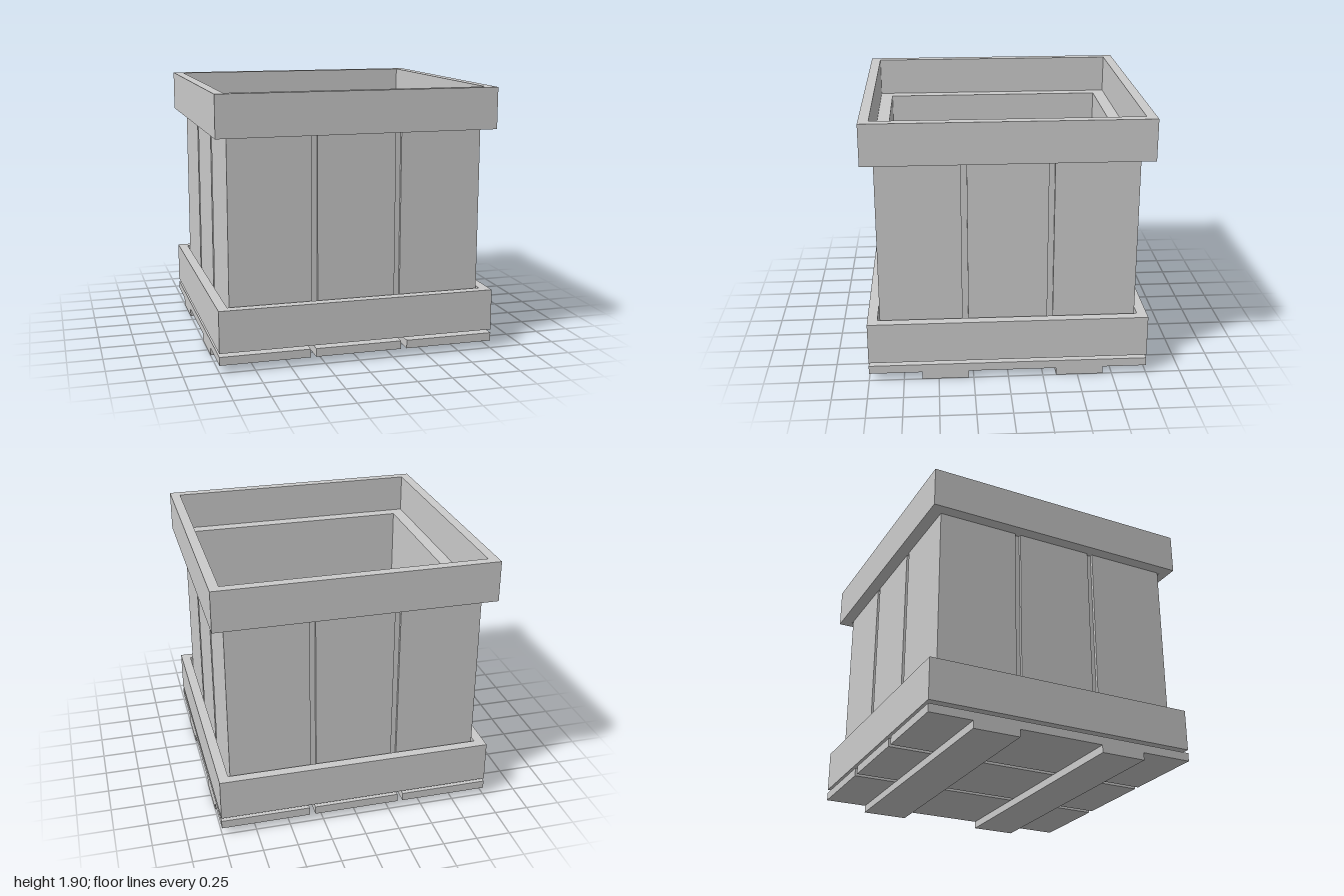
import * as THREE from 'three';

const material = new THREE.MeshStandardMaterial({ color: 0xcccccc });

function add(parent, name, geometry) {
  const mesh = new THREE.Mesh(geometry, material);
  mesh.name = name;
  parent.add(mesh);
  return mesh;
}

// Box given by its limits on each axis
function block(parent, name, [x0, x1], [y0, y1], [z0, z1]) {
  const mesh = add(parent, name, new THREE.BoxGeometry(x1 - x0, y1 - y0, z1 - z0));
  mesh.position.set((x0 + x1) / 2, (y0 + y1) / 2, (z0 + z1) / 2);
  return mesh;
}

function squarePath(path, r) {
  path.moveTo(-r, -r);
  path.lineTo(r, -r);
  path.lineTo(r, r);
  path.lineTo(-r, r);
  path.closePath();
  return path;
}

// Upright square ring between two half-widths, from y0 to y1
function ring(parent, name, outer, inner, y0, y1) {
  const shape = squarePath(new THREE.Shape(), outer);
  shape.holes.push(squarePath(new THREE.Path(), inner));
  const geometry = new THREE.ExtrudeGeometry(shape, { depth: y1 - y0, bevelEnabled: false });
  geometry.rotateX(-Math.PI / 2).translate(0, y0, 0);
  return add(parent, name, geometry);
}

export function createModel() {
  const crate = new THREE.Group();
  crate.name = 'crate';

  // Pallet: two cross runners under three planks
  const pallet = new THREE.Group();
  pallet.name = 'pallet';
  crate.add(pallet);
  for (const z of [[0.285, 0.62], [-0.685, -0.345]]) {
    block(pallet, 'runner', [-1, 1], [0, 0.055], z);
  }
  for (const x of [[-1, -0.357], [-0.317, 0.31], [0.353, 1]]) {
    block(pallet, 'plank', x, [0.055, 0.115], [-1, 1]);
  }

  // Floor and inner box with its thin lip
  block(crate, 'floor', [-0.922, 0.922], [0.115, 0.16], [-0.922, 0.922]);
  ring(crate, 'liner', 0.89, 0.836, 0.16, 1.612);
  ring(crate, 'linerLip', 0.929, 0.836, 1.612, 1.622);

  // Three boards on each wall, with narrow grooves between
  for (let side = 0; side < 4; side++) {
    const wall = new THREE.Group();
    wall.name = 'wall';
    wall.rotation.y = side * Math.PI / 2;
    for (const x of [[-0.912, -0.323], [-0.282, 0.282], [0.323, 0.912]]) {
      block(wall, 'board', x, [0.16, 1.612], [0.88, 0.912]);
    }
    crate.add(wall);
  }

  // Bands around the foot and the rim
  ring(crate, 'lowerBand', 1, 0.929, 0.14, 0.44);
  ring(crate, 'upperBand', 1, 0.929, 1.61, 1.905);

  return crate;
}
